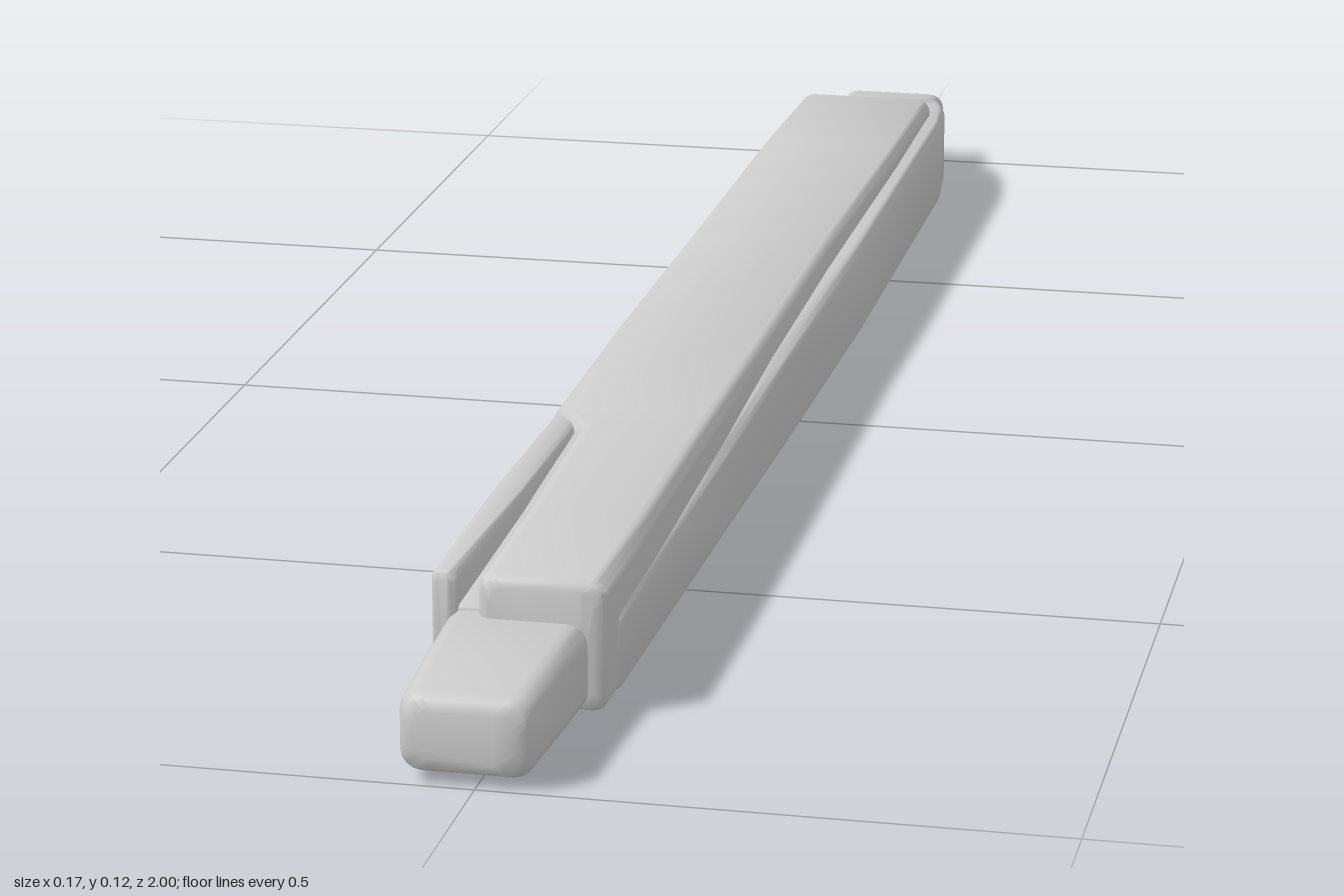
import * as THREE from 'three';
import { toCreasedNormals } from 'three/addons/utils/BufferGeometryUtils.js';

const material = new THREE.MeshStandardMaterial({ color: 0xcccccc });

// Rounded-rectangle outline, counter-clockwise
function outline(x0, x1, y0, y1, radius) {
  const r = Math.min(radius, (x1 - x0) * 0.49, (y1 - y0) * 0.49);
  const corners = [[x1 - r, y0 + r, -1], [x1 - r, y1 - r, 0], [x0 + r, y1 - r, 1], [x0 + r, y0 + r, 2]];
  const points = [];
  for (const [cx, cy, quarter] of corners) {
    for (let i = 0; i <= 4; i++) {
      const a = (quarter + i / 4) * Math.PI / 2;
      points.push([cx + r * Math.cos(a), cy + r * Math.sin(a)]);
    }
  }
  return points;
}

// Timber lofted through sections [z, x0, x1, y0, y1], back to front, with softened ends
function timber(name, sections, radius = 0.014, soft = 0.01) {
  const inset = ([z, x0, x1, y0, y1], dz, d) => [z + dz, x0 + d, x1 - d, y0 + d, y1 - d];
  const first = sections[0], last = sections[sections.length - 1];
  const all = [
    inset(first, 0, soft), inset(first, soft * 0.3, soft * 0.3), inset(first, soft, 0),
    ...sections.slice(1, -1),
    inset(last, -soft, 0), inset(last, -soft * 0.3, soft * 0.3), inset(last, 0, soft),
  ];
  const position = [], index = [], n = 20;
  for (const [z, ...box] of all) {
    for (const [x, y] of outline(...box, radius)) position.push(x, y, z);
  }
  for (let i = 0; i < all.length - 1; i++) {
    for (let j = 0; j < n; j++) {
      const a = i * n + j, b = i * n + (j + 1) % n;
      index.push(a, b, b + n, a, b + n, a + n);
    }
  }
  const top = (all.length - 1) * n;
  for (let j = 1; j < n - 1; j++) {
    index.push(0, j + 1, j);
    index.push(top, top + j, top + j + 1);
  }
  const geometry = new THREE.BufferGeometry();
  geometry.setAttribute('position', new THREE.Float32BufferAttribute(position, 3));
  geometry.setIndex(index);
  const mesh = new THREE.Mesh(toCreasedNormals(geometry, 0.8), material);
  mesh.name = name;
  return mesh;
}

export function createModel() {
  const group = new THREE.Group();
  group.name = 'timberBeam';
  group.add(
    // Main beam, narrowing at the front where the groove begins
    timber('mainBeam', [
      [-0.835, -0.082, 0.066, 0.004, 0.119],
      [-0.6, -0.085, 0.068, 0.002, 0.122],
      [-0.2, -0.084, 0.066, 0.001, 0.125],
      [0.1, -0.086, 0.068, 0, 0.125],
      [0.37, -0.085, 0.07, 0.002, 0.124],
      [0.42, -0.05, 0.07, 0.002, 0.124],
      [0.65, -0.043, 0.071, 0.002, 0.123],
      [0.825, -0.042, 0.07, 0.003, 0.121],
    ]),
    // Thin strip left standing beside the groove
    timber('edgeStrip', [
      [0.3, -0.083, -0.055, 0.004, 0.118],
      [0.6, -0.087, -0.056, 0.004, 0.12],
      [0.815, -0.085, -0.062, 0.006, 0.119],
    ], 0.008, 0.006),
    // Floor of the groove
    timber('grooveFloor', [
      [0.3, -0.08, -0.02, 0.005, 0.118],
      [0.55, -0.08, -0.02, 0.005, 0.105],
      [0.81, -0.08, -0.02, 0.006, 0.087],
    ], 0.006, 0.004),
    // Low side plank, thicker towards the back
    timber('sidePlank', [
      [-0.93, -0.01, 0.062, 0.012, 0.094],
      [-0.87, -0.01, 0.076, 0.006, 0.1],
      [-0.8, 0, 0.083, 0.004, 0.102],
      [-0.3, 0, 0.085, 0.002, 0.1],
      [0.1, 0, 0.081, 0.002, 0.097],
      [0.34, 0, 0.077, 0.003, 0.088],
      [0.55, 0, 0.075, 0.004, 0.083],
      [0.78, 0, 0.073, 0.006, 0.079],
    ], 0.01, 0.007),
    // Stub tenons at both ends
    timber('frontTenon', [
      [0.78, -0.074, 0.056, 0.005, 0.084],
      [0.9, -0.071, 0.05, 0.004, 0.081],
      [1, -0.066, 0.048, 0.008, 0.079],
    ], 0.018, 0.014),
    timber('backTenon', [
      [-1, -0.062, 0.055, 0.01, 0.083],
      [-0.93, -0.062, 0.052, 0.007, 0.087],
      [-0.86, -0.064, 0.055, 0.005, 0.1],
      [-0.78, -0.066, 0.056, 0.005, 0.112],
    ], 0.016, 0.012),
  );
  return group;
}
